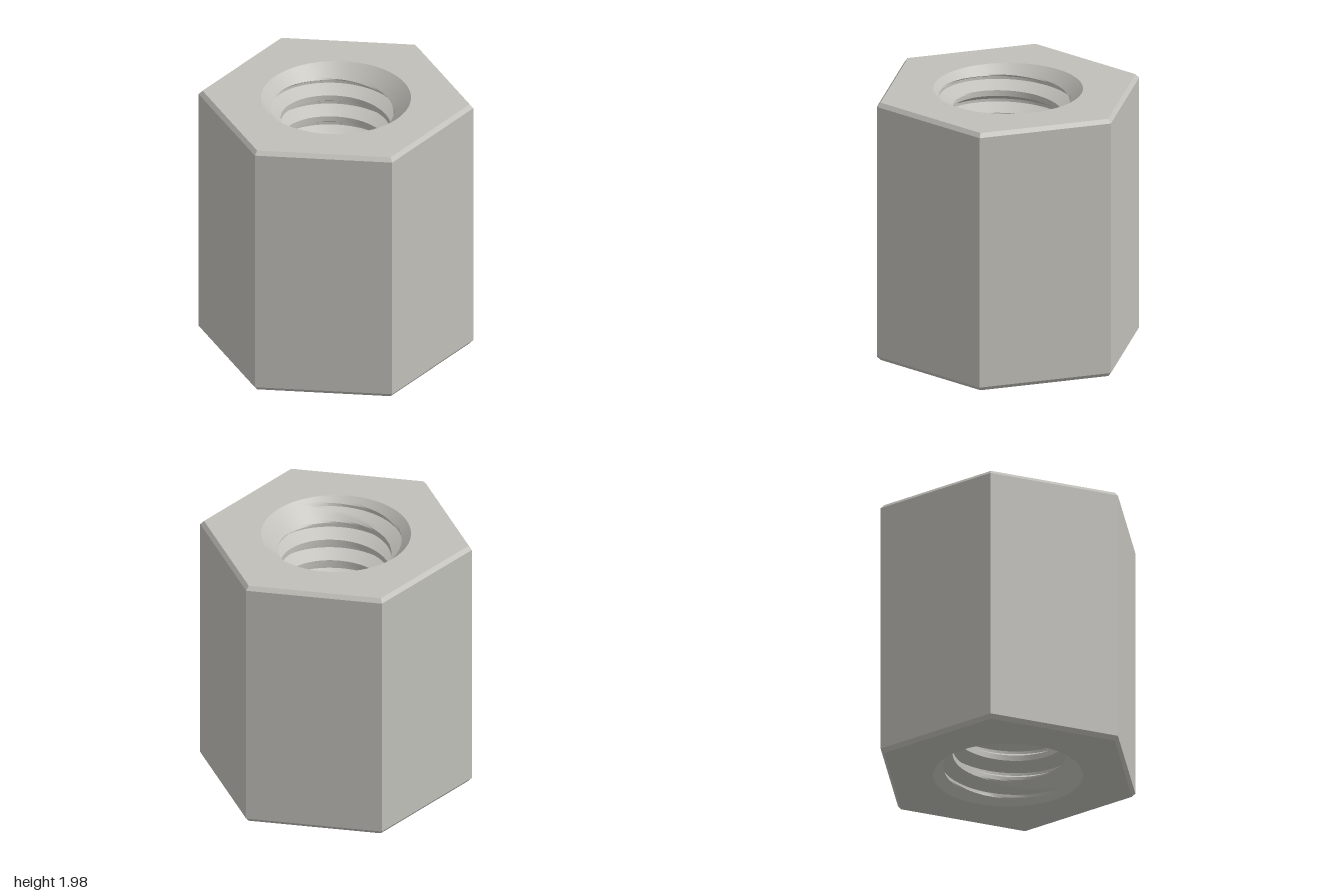
import * as THREE from 'three';
import { toCreasedNormals } from 'three/addons/utils/BufferGeometryUtils.js';

const H = 1.98, CHAMFER = 0.028;            // height and outer edge chamfer
const RIM = 0.543, MINOR = 0.401, MAJOR = 0.495; // bore radii
const PITCH = 0.1732, GROOVE_Y = 1.82;      // right-handed thread
const SEGMENTS = 96;

const flat = PITCH / 16, flank = PITCH * 5 / 16; // half root flat, flank run

// Bore radius: helical groove widened by a 45 degree countersink at each end
function boreRadius(y, offset) {
  const t = THREE.MathUtils.clamp((Math.abs(offset) - flat) / flank, 0, 1);
  const thread = THREE.MathUtils.lerp(MAJOR, MINOR, t);
  return Math.max(thread, RIM - y, RIM - (H - y));
}

// Rows of vertices follow the helix and are clamped to the two end faces
function boreGeometry() {
  const breaks = [-PITCH / 2, -flat - flank, -flat, flat, flat + flank, PITCH / 2];
  const steps = [2, 6, 1, 6, 2];
  const offsets = [];
  steps.forEach((n, i) => {
    for (let k = 0; k < n; k++) offsets.push(THREE.MathUtils.lerp(breaks[i], breaks[i + 1], k / n));
  });
  const positions = [], index = [], cols = SEGMENTS + 1;
  let rows = 0;
  for (let turn = -13; turn <= 2; turn++) {
    for (const offset of offsets) {
      for (let j = 0; j <= SEGMENTS; j++) {
        const a = j / SEGMENTS * Math.PI * 2;
        const y = THREE.MathUtils.clamp(GROOVE_Y + PITCH * (turn + j / SEGMENTS) + offset, 0, H);
        const r = boreRadius(y, offset);
        positions.push(r * Math.cos(a), y, -r * Math.sin(a));
      }
      rows++;
    }
  }
  const triangle = (...ids) => {
    const ys = ids.map((i) => positions[i * 3 + 1]);
    if (Math.max(...ys) - Math.min(...ys) > 1e-6) index.push(...ids);
  };
  for (let i = 0; i < rows - 1; i++) {
    for (let j = 0; j < SEGMENTS; j++) {
      const a = i * cols + j, b = a + 1, c = b + cols, d = a + cols;
      triangle(a, c, b);
      triangle(a, d, c);
    }
  }
  const geometry = new THREE.BufferGeometry();
  geometry.setAttribute('position', new THREE.Float32BufferAttribute(positions, 3));
  geometry.setIndex(index);
  return toCreasedNormals(geometry, 0.45);
}

// Six chamfered side faces, with corners on +x and -x
function sidesGeometry() {
  const profile = [[1 - CHAMFER, 0], [1, 0.03], [1, H - 0.03], [1 - CHAMFER, H]]
    .map(([r, y]) => new THREE.Vector2(r, y));
  const geometry = new THREE.LatheGeometry(profile, 6, Math.PI / 2).toNonIndexed();
  geometry.computeVertexNormals();
  return geometry;
}

// Hexagonal end face with a round opening
function endGeometry() {
  const ring = (radius, count) => Array.from({ length: count }, (_, i) => {
    const a = i / count * Math.PI * 2;
    return new THREE.Vector2(radius * Math.cos(a), radius * Math.sin(a));
  });
  const shape = new THREE.Shape(ring(1 - CHAMFER, 6));
  shape.holes.push(new THREE.Path(ring(RIM, SEGMENTS).reverse()));
  return new THREE.ShapeGeometry(shape);
}

export function createModel() {
  const group = new THREE.Group();
  group.name = 'hexStandoff';
  const steel = new THREE.MeshStandardMaterial({ color: 0xc0bfb9 });
  steel.name = 'steel grey';

  const add = (name, geometry) => {
    const mesh = new THREE.Mesh(geometry, steel);
    mesh.name = name;
    group.add(mesh);
    return mesh;
  };

  add('hexSides', sidesGeometry());
  add('threadedBore', boreGeometry());
  const top = add('topFace', endGeometry());
  top.rotation.x = -Math.PI / 2;
  top.position.y = H;
  add('bottomFace', endGeometry()).rotation.x = Math.PI / 2;

  return group;
}
